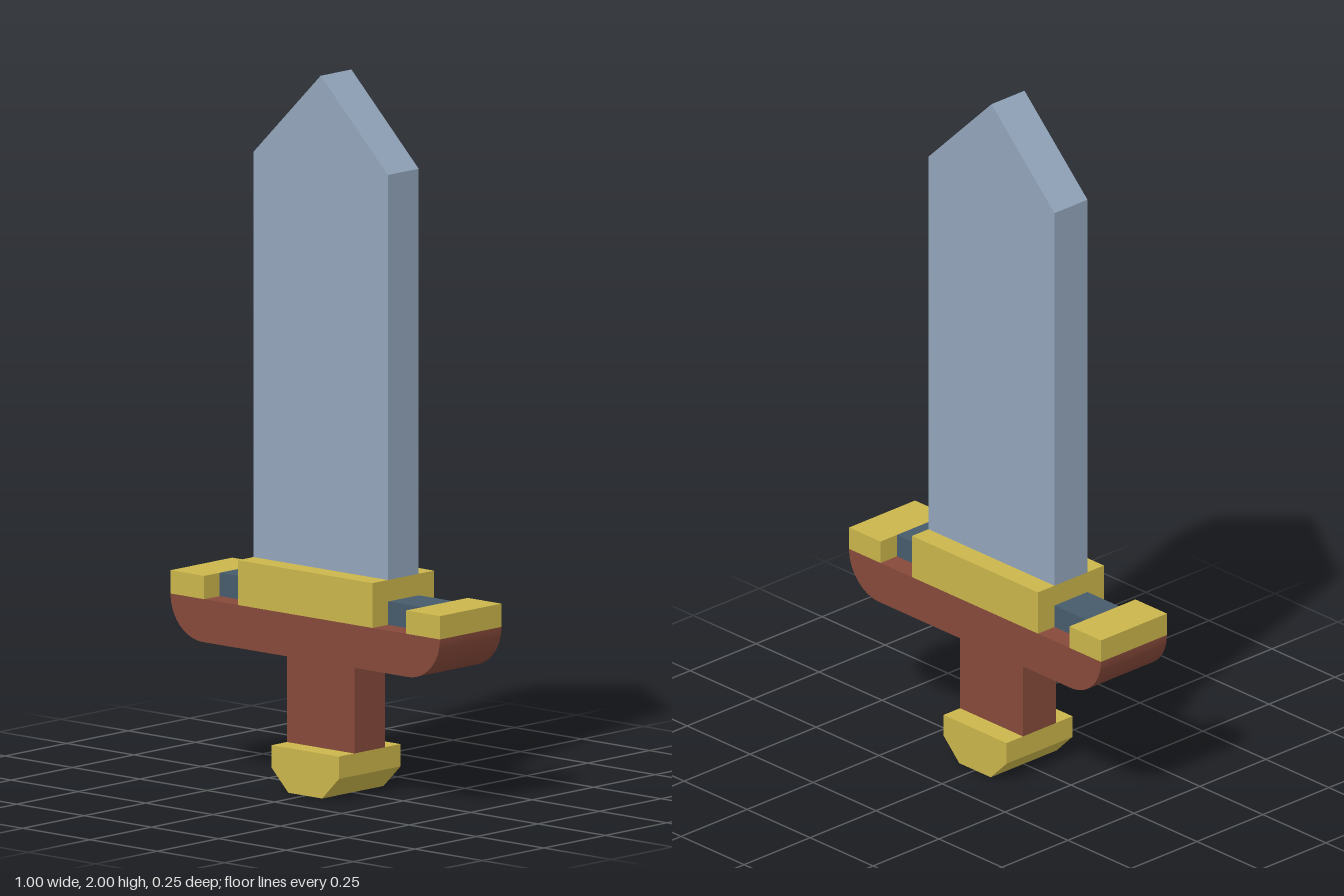
import * as THREE from 'three';
import { toCreasedNormals } from 'three/addons/utils/BufferGeometryUtils.js';

const makeMaterial = (name, color) => {
  const m = new THREE.MeshStandardMaterial({ color });
  m.name = name;
  return m;
};

export function createModel() {
  const steel = makeMaterial('steel', 0x93a5bb);
  const gold = makeMaterial('gold', 0xcab54b);
  const leather = makeMaterial('reddish brown', 0x86493a);
  const iron = makeMaterial('dark iron', 0x475b6c);

  const sword = new THREE.Group();
  sword.name = 'sword';

  const add = (name, geometry, material) => {
    const mesh = new THREE.Mesh(geometry, material);
    mesh.name = name;
    sword.add(mesh);
    return mesh;
  };

  // Box given by centre x, bottom and top, width and depth
  const addBox = (name, material, x, y0, y1, width, depth) =>
    add(name, new THREE.BoxGeometry(width, y1 - y0, depth), material).position.set(x, (y0 + y1) / 2, 0);

  // Front outline extruded evenly about z = 0
  const addSlab = (name, material, shape, depth) => {
    const geometry = new THREE.ExtrudeGeometry(shape, { depth, bevelEnabled: false, curveSegments: 12 });
    geometry.translate(0, 0, -depth / 2);
    add(name, toCreasedNormals(geometry, 0.5), material);
  };
  const outline = (points) => new THREE.Shape(points.map(([x, y]) => new THREE.Vector2(x, y)));

  // Pointed blade
  addSlab('blade', steel, outline([[-0.25, 0.625], [0.25, 0.625], [0.25, 1.755], [0, 2], [-0.25, 1.755]]), 0.125);

  // Pommel with chamfered lower corners
  addSlab('pommel', gold, outline([
    [-0.0625, 0], [0.0625, 0], [0.125, 0.0625], [0.125, 0.125], [-0.125, 0.125], [-0.125, 0.0625],
  ]), 0.25);

  // Grip
  addBox('grip', leather, 0, 0.125, 0.38, 0.25, 0.125);

  // Crossguard with rounded lower corners
  const r = 0.12;
  const guard = new THREE.Shape();
  guard.moveTo(-0.5, 0.5);
  guard.absarc(-0.5 + r, 0.5, r, Math.PI, Math.PI * 1.5, false);
  guard.absarc(0.5 - r, 0.5, r, Math.PI * 1.5, Math.PI * 2, false);
  guard.closePath();
  addSlab('crossguard', leather, guard, 0.25);

  // Collar around the foot of the blade
  addBox('collar', gold, 0, 0.5, 0.625, 0.5, 0.25);

  // Guard end caps and the iron bars joining them to the collar
  for (const [side, s] of [['left', 1], ['right', -1]]) {
    addBox(side + 'GuardCap', gold, s * 0.4375, 0.5, 0.565, 0.125, 0.25);
    addBox(side + 'GuardBar', iron, s * 0.3125, 0.5, 0.565, 0.125, 0.125);
  }

  return sword;
}
